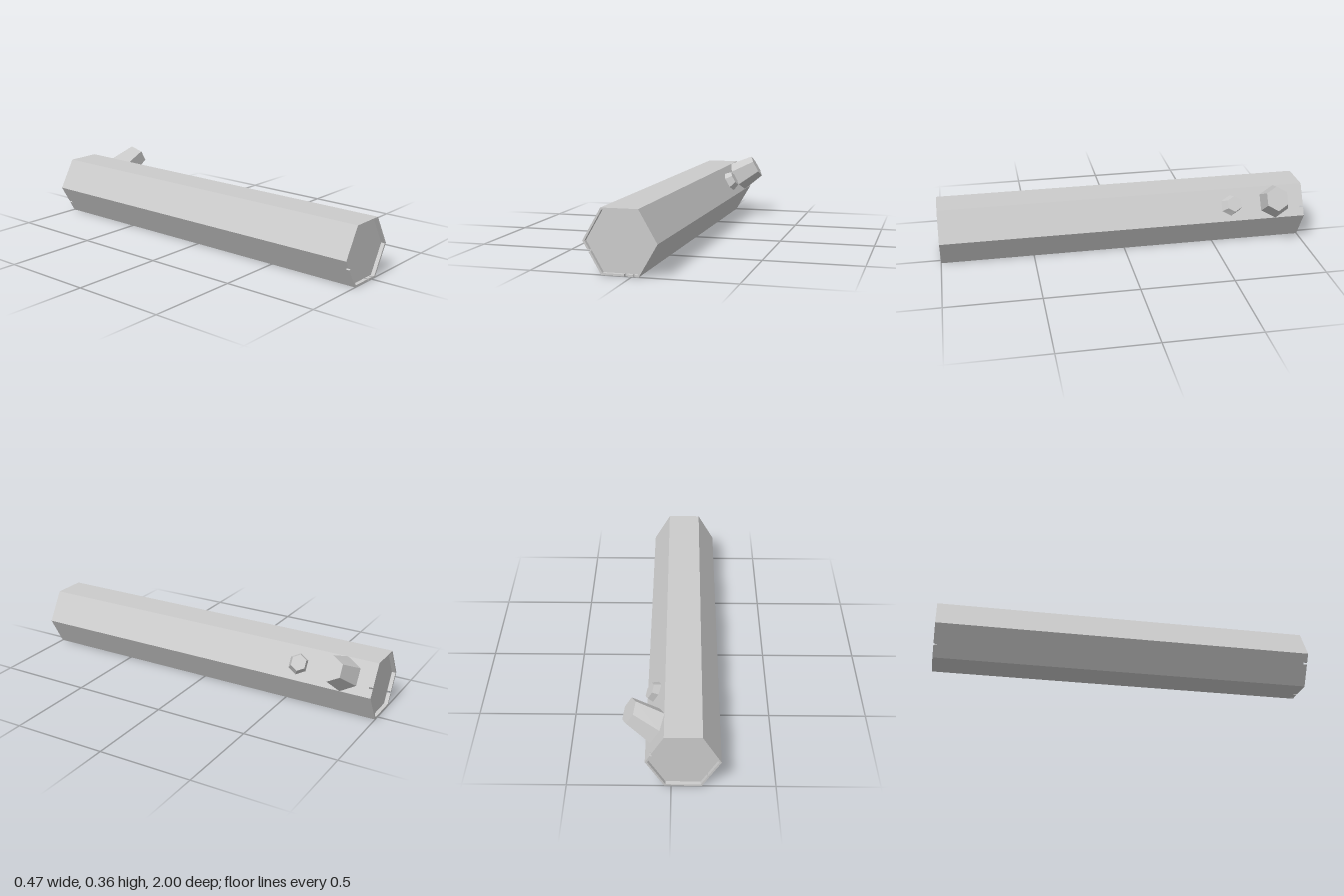
import * as THREE from 'three';

const CX = -0.057, CY = 0.156, R = 0.18, R_IN = 0.169, HALF = 1, LIP = 0.02;
const material = new THREE.MeshStandardMaterial({ color: 0xcccccc, flatShading: true });

// Point on a hexagon side (k = 0..5), t running from corner k to corner k + 1
function onSide(radius, k, t) {
  const corner = (i) => new THREE.Vector2(Math.cos(i * Math.PI / 3), Math.sin(i * Math.PI / 3)).multiplyScalar(radius);
  const p = corner(k).lerp(corner(k + 1), t);
  return p.add(new THREE.Vector2(CX, CY));
}

function extrude(points, z0, depth, name) {
  const geometry = new THREE.ExtrudeGeometry(new THREE.Shape(points), { depth, bevelEnabled: false });
  geometry.translate(0, 0, z0);
  const mesh = new THREE.Mesh(geometry, material);
  mesh.name = name;
  return mesh;
}

// Raised bark edge around an end, interrupted by small cracks
function barkRim(z0, cracks, name) {
  const rim = new THREE.Group();
  rim.name = name;
  for (let k = 0; k < 6; k++) {
    const cuts = [0];
    for (const [t, width] of cracks[k] ?? []) cuts.push(t - width / 2, t + width / 2);
    cuts.push(1);
    for (let i = 0; i < cuts.length; i += 2) {
      const [a, b] = [cuts[i], cuts[i + 1]];
      rim.add(extrude([onSide(R, k, a), onSide(R, k, b), onSide(R_IN, k, b), onSide(R_IN, k, a)], z0, LIP, 'barkEdge'));
    }
  }
  return rim;
}

// Tapered six-sided stub on the upper left face of the log; its cut end leans back by tilt
function stub(name, base, baseRadius, tip, tipRadius, tilt) {
  const geometry = new THREE.CylinderGeometry(tipRadius, baseRadius, 1, 6);
  geometry.rotateY(Math.PI / 2); // a corner points up along the face
  const pos = geometry.attributes.position;
  const normal = new THREE.Vector3(0.866, 0.5, 0), up = new THREE.Vector3(-0.5, 0.866, 0);
  const from = new THREE.Vector3(...base), to = new THREE.Vector3(...tip);
  for (let i = 0; i < pos.count; i++) {
    const along = pos.getY(i) + 0.5, side = -pos.getZ(i);
    const p = from.clone().lerp(to, along).addScaledVector(up, pos.getX(i));
    p.addScaledVector(normal, along * tilt * side);
    pos.setXYZ(i, p.x, p.y, p.z + side);
  }
  geometry.computeVertexNormals();
  const mesh = new THREE.Mesh(geometry, material);
  mesh.name = name;
  return mesh;
}

export function createModel() {
  const model = new THREE.Group();
  model.name = 'log';

  // Trunk, with its cut ends set slightly inside the bark
  const corners = [0, 1, 2, 3, 4, 5].map((k) => onSide(R, k, 0));
  model.add(extrude(corners, -HALF + LIP, 2 * (HALF - LIP), 'trunk'));
  model.add(barkRim(HALF - LIP, { 3: [[0.3, 0.06]], 4: [[0.65, 0.07], [0.88, 0.04]] }, 'frontBarkRim'));
  model.add(barkRim(-HALF, { 0: [[0.28, 0.05]], 3: [[0.62, 0.05]] }, 'backBarkRim'));

  // Cut branches
  model.add(stub('largeBranch', [0.0775, 0.234, -0.835], 0.09, [0.2015, 0.307, -0.81], 0.067, 0.11));
  model.add(stub('smallBranch', [0.08, 0.231, -0.585], 0.056, [0.11, 0.2525, -0.6], 0.043, 0.05));
  return model;
}
